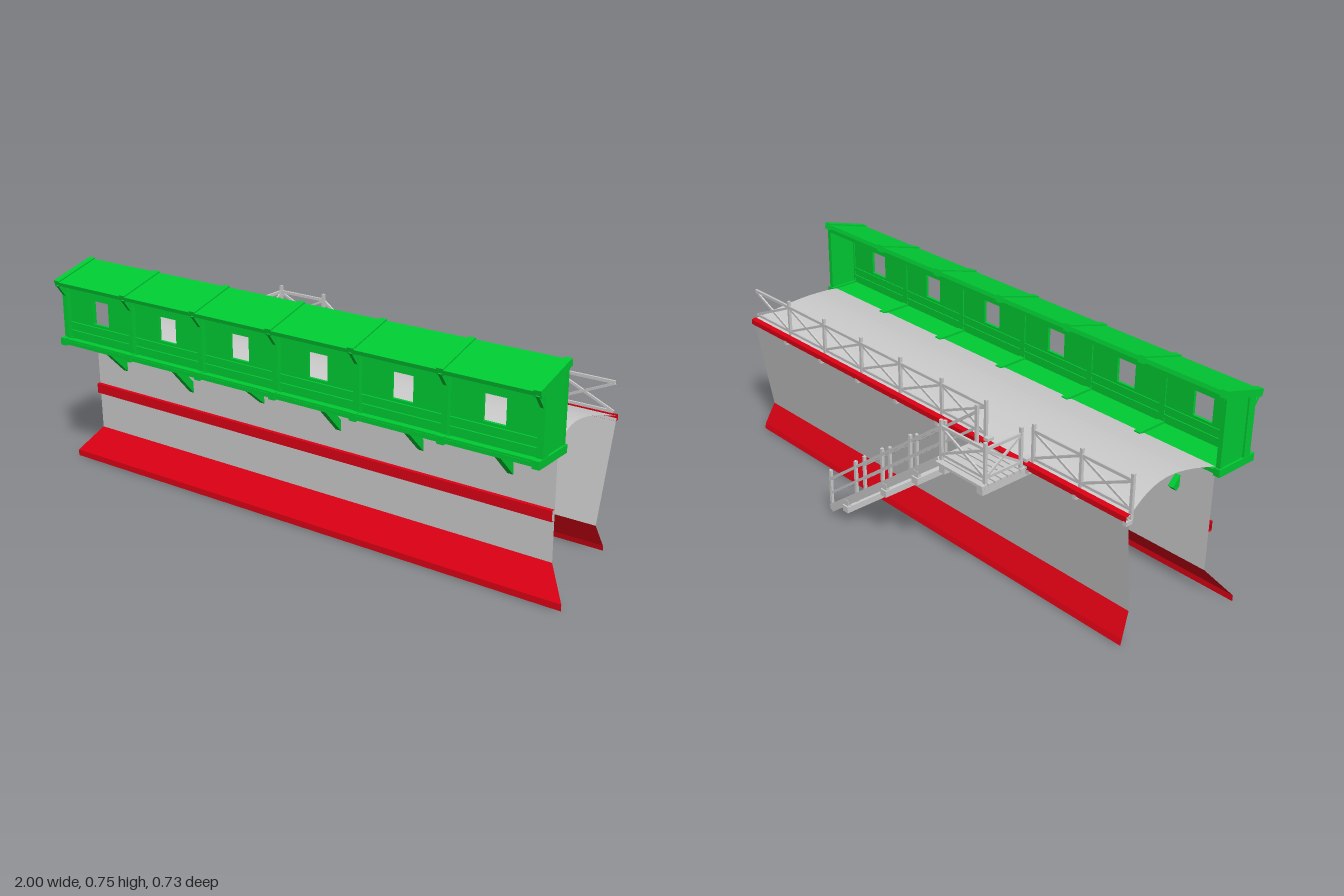
import * as THREE from 'three';

const mat = (color, side = THREE.FrontSide) => new THREE.MeshStandardMaterial({ color, side, flatShading: true });
const GREY = mat(0xcccccc), GREEN = mat(0x00cc33);
const GREY2 = mat(0xcccccc, THREE.DoubleSide), RED2 = mat(0xdd0014, THREE.DoubleSide);
const UP = new THREE.Vector3(0, 1, 0);

function group(parent, name) {
  const g = new THREE.Group();
  g.name = name;
  parent.add(g);
  return g;
}

function add(parent, name, geometry, material) {
  const m = new THREE.Mesh(geometry, material);
  m.name = name;
  parent.add(m);
  return m;
}

function box(parent, name, size, pos, material) {
  const m = add(parent, name, new THREE.BoxGeometry(...size), material);
  m.position.set(...pos);
  return m;
}

// Straight timber or bar from a to b, turned in its parent's own frame
function beam(parent, name, a, b, w, h, material) {
  const p = new THREE.Vector3(...a), q = new THREE.Vector3(...b);
  const m = add(parent, name, new THREE.BoxGeometry(w, h, p.distanceTo(q)), material);
  m.position.copy(p).lerp(q, 0.5);
  m.quaternion.setFromRotationMatrix(new THREE.Matrix4().lookAt(q, p, UP));
  return m;
}

const polygon = points => points.map(p => new THREE.Vector2(...p));

// Open skin running along x through cross-section points [z, y, half length]
function sheet(parent, name, profile, material) {
  const pos = [], idx = [];
  profile.forEach(([z, y, h], i) => {
    pos.push(-h, y, z, h, y, z);
    if (i) {
      const k = i * 2;
      idx.push(k - 2, k - 1, k, k - 1, k + 1, k);
    }
  });
  const g = new THREE.BufferGeometry();
  g.setAttribute('position', new THREE.Float32BufferAttribute(pos, 3));
  g.setIndex(idx);
  g.computeVertexNormals();
  return add(parent, name, g, material);
}

function buildRampart(root) {
  const g = group(root, 'rampart');
  sheet(g, 'frontWall', [[0.205, 0.11, 0.93], [0.21, 0.478, 0.93]], GREY2);
  sheet(g, 'frontPlinth', [[0.27, 0, 1], [0.27, 0.022, 1], [0.205, 0.11, 0.93]], RED2);
  sheet(g, 'frontBand', [[0.21, 0.247, 0.93], [0.222, 0.248, 0.93], [0.222, 0.283, 0.93], [0.21, 0.284, 0.93]], RED2);
  sheet(g, 'backWall', [[-0.12, 0.1, 0.91], [-0.172, 0.45, 0.93]], GREY2);
  sheet(g, 'backPlinth', [[-0.162, 0, 0.922], [-0.157, 0.02, 0.922], [-0.12, 0.1, 0.91]], RED2);
  sheet(g, 'backCoping', [[-0.17, 0.44, 0.93], [-0.182, 0.442, 0.93], [-0.182, 0.46, 0.93], [-0.165, 0.464, 0.93]], RED2);
  // Gently arched deck whose ends draw in toward the crown
  const arch = [];
  for (let i = 0; i <= 14; i++) {
    const t = i / 14, s = Math.sin(Math.PI * t);
    arch.push([-0.17 + 0.38 * t, 0.458 + 0.02 * t + 0.03 * s, 0.93 - 0.033 * s]);
  }
  sheet(g, 'deck', arch, GREY2);
}

function buildGallery(root) {
  const g = group(root, 'gallery');
  g.position.x = -0.0075;
  const step = 0.3145, half = step * 3;
  const roofY = z => 0.685 + (0.365 - z) * 0.278;

  // Front wall with one window per bay, and a strut under each
  const wall = new THREE.Shape(polygon([[-half, 0.48], [half, 0.48], [half, 0.692], [-half, 0.692]]));
  for (let i = 0; i < 6; i++) {
    const c = -half + step * (i + 0.5), w = 0.038;
    wall.holes.push(new THREE.Path(polygon([[c - w, 0.55], [c - w, 0.635], [c + w, 0.635], [c + w, 0.55]])));
    const drop = [0.352, 0.337, 0.37, 0.344, 0.352, 0.354][i];
    beam(g, 'strut', [c, 0.468, 0.302], [c, drop, 0.186], 0.02, 0.026, GREEN);
  }
  add(g, 'frontWall', new THREE.ExtrudeGeometry(wall, { depth: 0.01, bevelEnabled: false }), GREEN).position.z = 0.305;
  for (const y of [0.505, 0.535, 0.66]) box(g, 'batten', [half * 2, 0.012, 0.02], [0, y, 0.311], GREEN);

  box(g, 'floor', [half * 2, 0.014, 0.155], [0, 0.471, 0.27], GREEN);
  box(g, 'frontSill', [half * 2, 0.02, 0.016], [0, 0.474, 0.338], GREEN);
  beam(g, 'roof', [0, roofY(0.362), 0.362], [0, roofY(0.188), 0.188], half * 2, 0.014, GREEN);
  box(g, 'backRoofBeam', [half * 2, 0.018, 0.014], [0, roofY(0.2) - 0.012, 0.2], GREEN);

  // Frames between the bays
  for (let i = 0; i < 7; i++) {
    const x = -half + step * i;
    beam(g, 'rafter', [x, roofY(0.362), 0.362], [x, roofY(0.186), 0.186], 0.024, 0.024, GREEN);
    box(g, 'floorJoist', [0.024, 0.026, 0.164], [x, 0.473, 0.27], GREEN);
    box(g, 'post', [0.022, 0.21, 0.03], [x, 0.585, 0.316], GREEN);
    beam(g, 'eaveBrace', [x, 0.64, 0.329], [x, 0.682, 0.36], 0.012, 0.008, GREEN);
  }

  // Closed ends
  const side = new THREE.Shape(polygon([[0.195, 0.48], [0.31, 0.48], [0.31, 0.695], [0.195, 0.728]]));
  for (const s of [-1, 1]) {
    const geo = new THREE.ExtrudeGeometry(side, { depth: 0.01, bevelEnabled: false }).rotateY(-Math.PI / 2);
    add(g, 'endWall', geo, GREEN).position.x = s * half + 0.005;
    box(g, 'endPost', [0.016, 0.245, 0.01], [s * half, 0.605, 0.199], GREEN);
  }
}

// Railing panel between two posts; base points a and b stand on the walking line
function railBay(g, a, b, cross) {
  const up = (p, h) => [p[0], p[1] + h, p[2]];
  const low = cross ? 0.02 : 0.06;
  beam(g, 'topRail', up(a, 0.115), up(b, 0.115), 0.008, 0.01, GREY);
  beam(g, 'lowRail', up(a, low), up(b, low), 0.007, 0.009, GREY);
  if (cross) {
    beam(g, 'brace', up(a, 0.02), up(b, 0.112), 0.006, 0.008, GREY);
    beam(g, 'brace', up(a, 0.112), up(b, 0.02), 0.006, 0.008, GREY);
  }
}
const railPost = (g, [x, y, z]) => box(g, 'railPost', [0.01, 0.155, 0.01], [x, y + 0.06, z], GREY);

function buildParapet(root) {
  const g = group(root, 'parapetRailing');
  // Two runs leave an opening at the landing; the far end has no post
  for (const [x0, x1, bays] of [[-0.925, -0.53, 2], [-0.32, 0.925, 6]]) {
    const at = k => [x0 + (x1 - x0) * k / bays, 0.455, -0.157];
    for (let i = 0; i <= bays; i++) {
      if (i < bays) railBay(g, at(i), at(i + 1), true);
      if (i === 6) continue;
      railPost(g, at(i));
      box(g, 'railFoot', [0.014, 0.014, 0.026], [at(i)[0], 0.437, -0.17], GREY);
    }
  }
}

function buildStair(root) {
  const g = group(root, 'stair');
  const xTop = -0.32, xEnd = 0.25, yTop = 0.45, yEnd = 0.022;
  const at = (t, z) => [xTop + (xEnd - xTop) * t, yTop + (yEnd - yTop) * t, z];

  // Landing
  for (let i = 0; i < 8; i++) box(g, 'landingBoard', [0.21, 0.009, 0.021], [-0.425, 0.451, -0.172 - i * 0.0262], GREY);
  for (const x of [-0.51, -0.34]) {
    box(g, 'landingBracket', [0.025, 0.024, 0.235], [x, 0.43, -0.24], GREY);
    box(g, 'landingBearer', [0.02, 0.008, 0.2], [x, 0.446, -0.262], GREY);
    box(g, 'landingCleat', [0.02, 0.016, 0.025], [x, 0.465, -0.163], GREY);
  }
  const corners = [[-0.52, 0.455, -0.2], [-0.52, 0.455, -0.345], [-0.325, 0.455, -0.345]];
  corners.forEach(c => railPost(g, c));
  railPost(g, [-0.325, 0.455, -0.2]);
  railBay(g, corners[0], corners[1], true);
  railBay(g, corners[1], corners[2], true);

  // Flight
  for (const z of [-0.2, -0.345]) {
    beam(g, 'stringer', at(0, z), at(1, z), 0.011, 0.028, GREY);
    for (let i = 0; i < 4; i++) {
      const a = at(i / 4, z), b = at((i + 1) / 4, z);
      railPost(g, [b[0], b[1] + (i === 3 ? 0.012 : 0), z]);
      railBay(g, a, b, false);
    }
  }
  const steps = 22;
  for (let i = 0; i < steps; i++) {
    const [x, y, z] = at((i + 0.5) / steps, -0.2725);
    box(g, 'tread', [0.024, 0.006, 0.145], [x, y + 0.004, z], GREY);
  }
  // Cantilever beams carrying the flight
  for (const [x, y] of [[-0.21, 0.335], [-0.05, 0.218], [0.16, 0.062]]) {
    box(g, 'flightBracket', [0.028, 0.023, 0.235], [x, y, -0.24], GREY);
    for (const z of [-0.2, -0.345]) box(g, 'bracketBlock', [0.02, 0.03, 0.014], [x, y + 0.018, z], GREY);
  }
}

export function createModel() {
  const root = new THREE.Group();
  root.name = 'rampartWithGallery';
  buildRampart(root);
  buildGallery(root);
  buildParapet(root);
  buildStair(root);
  return root;
}
